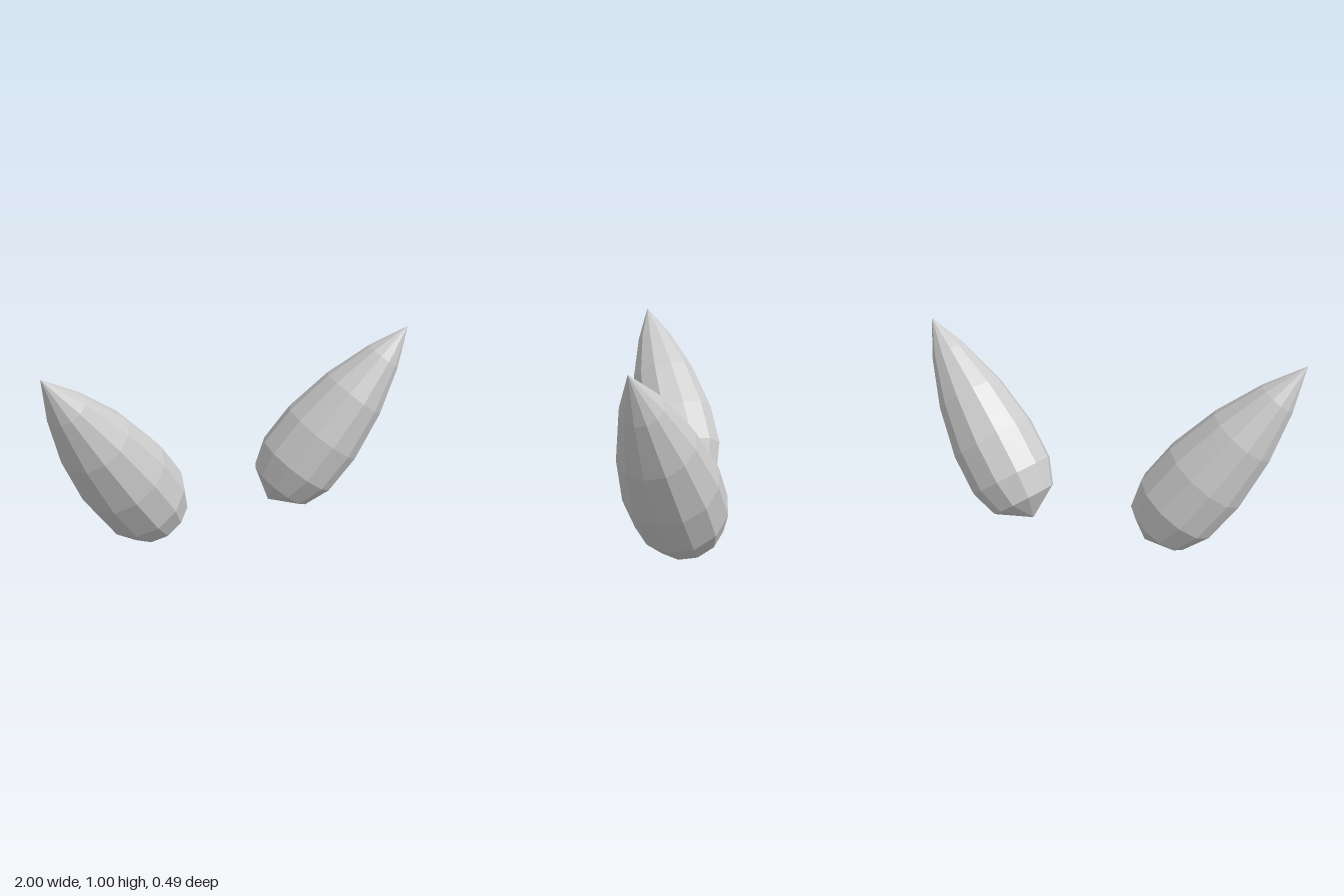
import * as THREE from 'three';

// Profile rings: [fraction along the axis, radius]
const PROFILE = [[0, 0], [0.092, 0.178], [0.212, 0.229], [0.397, 0.229], [0.623, 0.18], [0.829, 0.098], [1, 0]];
const SIDES = 12;

// Twelve-sided spindle running from its blunt base point to its sharp tip
function spike(name, base, tip, material) {
  const axis = tip.clone().sub(base);
  const length = axis.length();
  axis.normalize();
  const points = PROFILE.map(([t, r]) => new THREE.Vector2(r, t * length));
  const geometry = new THREE.LatheGeometry(points, SIDES, Math.PI / SIDES);

  // Roll the spindle so flat facets face straight sideways
  const side = new THREE.Vector3().crossVectors(axis, new THREE.Vector3(0, 0, 1)).normalize();
  const front = new THREE.Vector3().crossVectors(side, axis);
  const mesh = new THREE.Mesh(geometry, material);
  mesh.name = name;
  mesh.quaternion.setFromRotationMatrix(new THREE.Matrix4().makeBasis(side, axis, front));
  mesh.position.copy(base);
  return mesh;
}

export function createModel() {
  const model = new THREE.Group();
  model.name = 'spikePair';
  const material = new THREE.MeshStandardMaterial({ color: 0xcccccc, flatShading: true });

  // The right spike sits slightly higher than the left one
  for (const [name, s, lift] of [['leftSpike', 1, 0], ['rightSpike', -1, 0.02]]) {
    const base = new THREE.Vector3(s * 0.315, 0.018 + lift * 0.6, -0.08);
    const tip = new THREE.Vector3(s, 0.975 + lift, 0.183);
    model.add(spike(name, base, tip, material));
  }
  return model;
}
